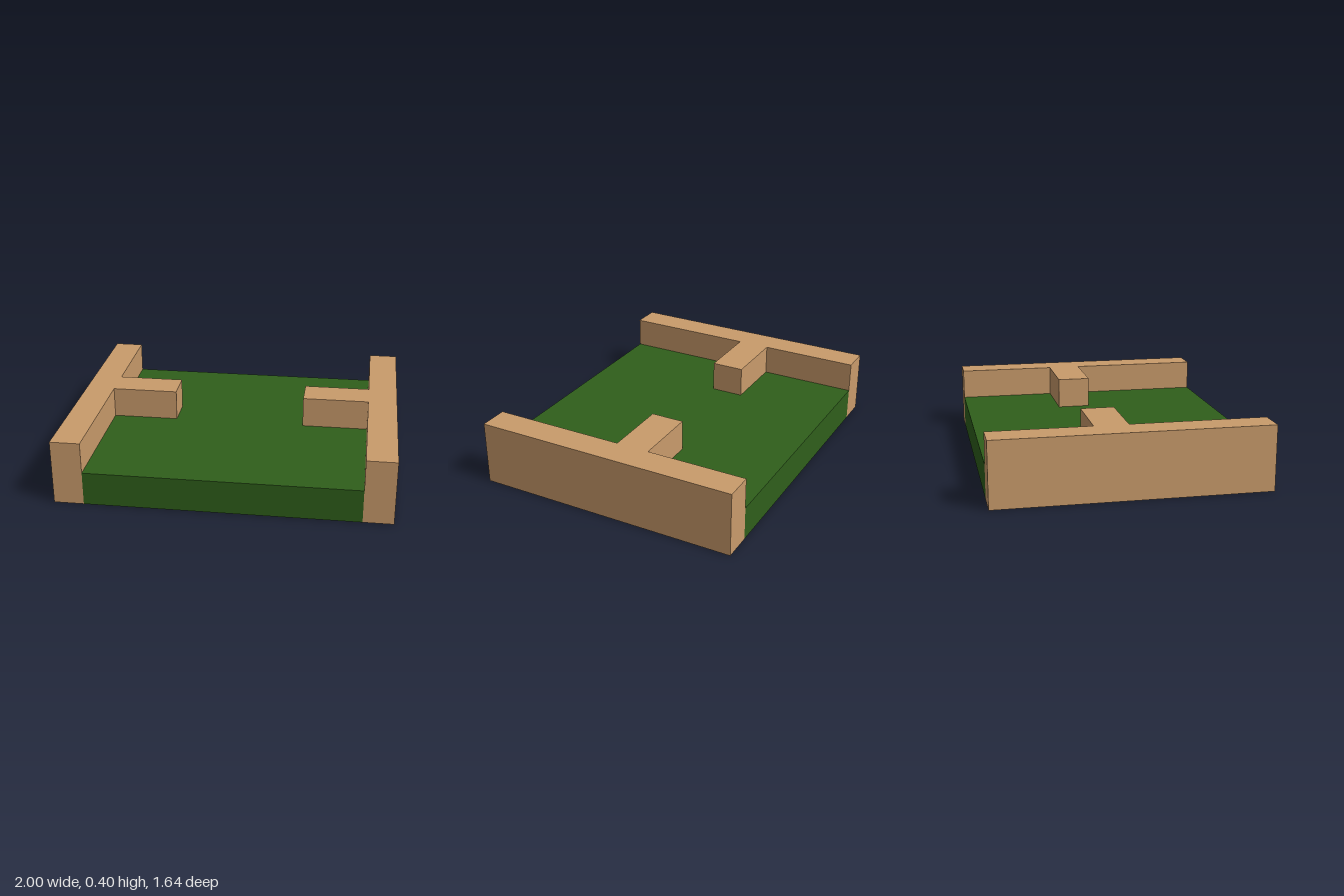
import * as THREE from 'three';

const HALF = 0.82;      // half size of the square floor
const FLOOR_TOP = 0.205;
const WALL_TOP = 0.395;

export function createModel() {
  const model = new THREE.Group();
  model.name = 'walledTile';
  const green = new THREE.MeshStandardMaterial({ color: 0x2f5f1b });
  const tan = new THREE.MeshStandardMaterial({ color: 0xc99b6b });

  // Box given by its minimum and maximum corners
  function addBox(name, material, [x0, y0, z0], [x1, y1, z1]) {
    const mesh = new THREE.Mesh(new THREE.BoxGeometry(x1 - x0, y1 - y0, z1 - z0), material);
    mesh.position.set((x0 + x1) / 2, (y0 + y1) / 2, (z0 + z1) / 2);
    mesh.name = name;
    model.add(mesh);
    return mesh;
  }

  // Grass floor slab
  addBox('floor', green, [-HALF, 0, -HALF], [HALF, FLOOR_TOP, HALF]);

  // Side walls, each with a short partition reaching inwards
  for (const [side, sign] of [['left', 1], ['right', -1]]) {
    const wall = addBox(side + 'Wall', tan, [HALF, 0, -HALF], [1, WALL_TOP, HALF]);
    const partition = addBox(side + 'Partition', tan, [0.41, FLOOR_TOP, -0.205], [HALF, WALL_TOP, 0]);
    wall.position.x *= sign;
    partition.position.x *= sign;
  }

  return model;
}
